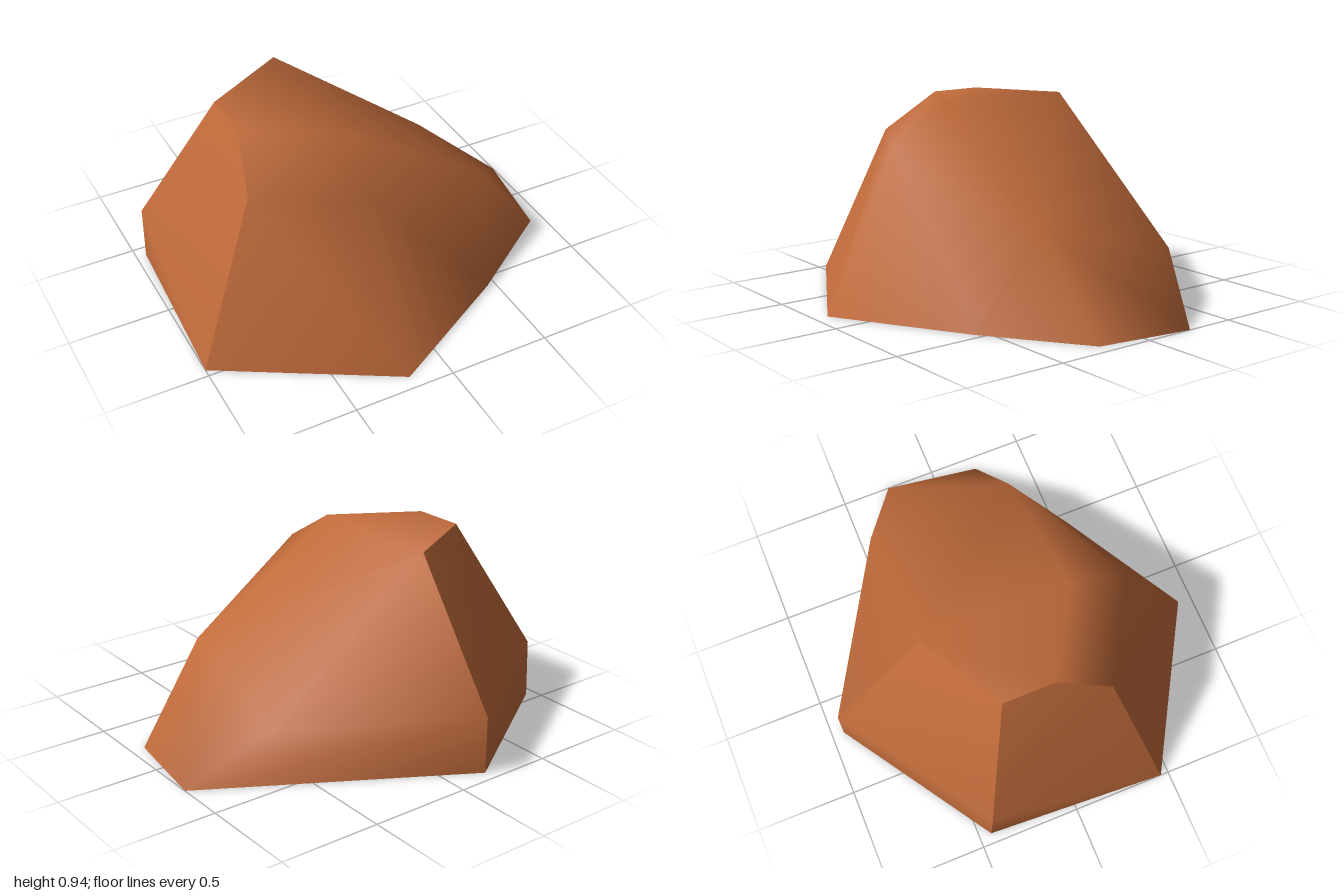
import * as THREE from 'three';

// Corner points of the faceted boulder
const P = {
  // ground outline
  a: [-1, 0, 0.46], b: [-0.19, 0, 0.93], c: [0.46, 0, 0.56], x: [0.93, 0, 0.23],
  d: [1, 0, -0.25], e: [-0.19, 0, -0.94], f: [-0.95, 0, -0.44],
  // shoulders
  E: [-0.19, 0.28, -0.94], F: [-0.95, 0.29, -0.43], V: [0.64, 0.28, -0.46], W: [0.58, 0.46, 0.28],
  // crown
  p: [-0.19, 0.94, -0.47], q: [-0.6, 0.94, -0.24], r: [-0.6, 0.94, 0.02], s: [-0.19, 0.94, 0.26],
  t: [-0.67, 0.76, 0.28], u: [-0.19, 0.76, 0.56],
};

// Each word is one polygon; polygons within a shell share smooth normals
const SHELLS = {
  weatheredSlopes: 'pqrs rtus tabu ubcW suW sWp WcX WXd pWV WdV deEV pVE',
  backFacet: 'efFE EFqp',
  rightFacet: 'faF Fatrq',
  underside: 'fedXcba',
};

function shell(words) {
  const keys = Object.keys(P);
  const index = [];
  for (const word of words.split(' ')) {
    const ids = [...word].map((k) => keys.indexOf(k === 'X' ? 'x' : k));
    for (let i = 1; i < ids.length - 1; i++) index.push(ids[0], ids[i], ids[i + 1]);
  }
  const g = new THREE.BufferGeometry();
  g.setAttribute('position', new THREE.Float32BufferAttribute(Object.values(P).flat(), 3));
  g.setIndex(index);
  g.computeVertexNormals();
  return g;
}

export function createModel() {
  const rock = new THREE.MeshStandardMaterial({ color: 0xbf6a3a });
  rock.name = 'rust brown rock';
  const group = new THREE.Group();
  group.name = 'boulder';
  for (const [name, words] of Object.entries(SHELLS)) {
    const mesh = new THREE.Mesh(shell(words), rock);
    mesh.name = name;
    group.add(mesh);
  }
  return group;
}
